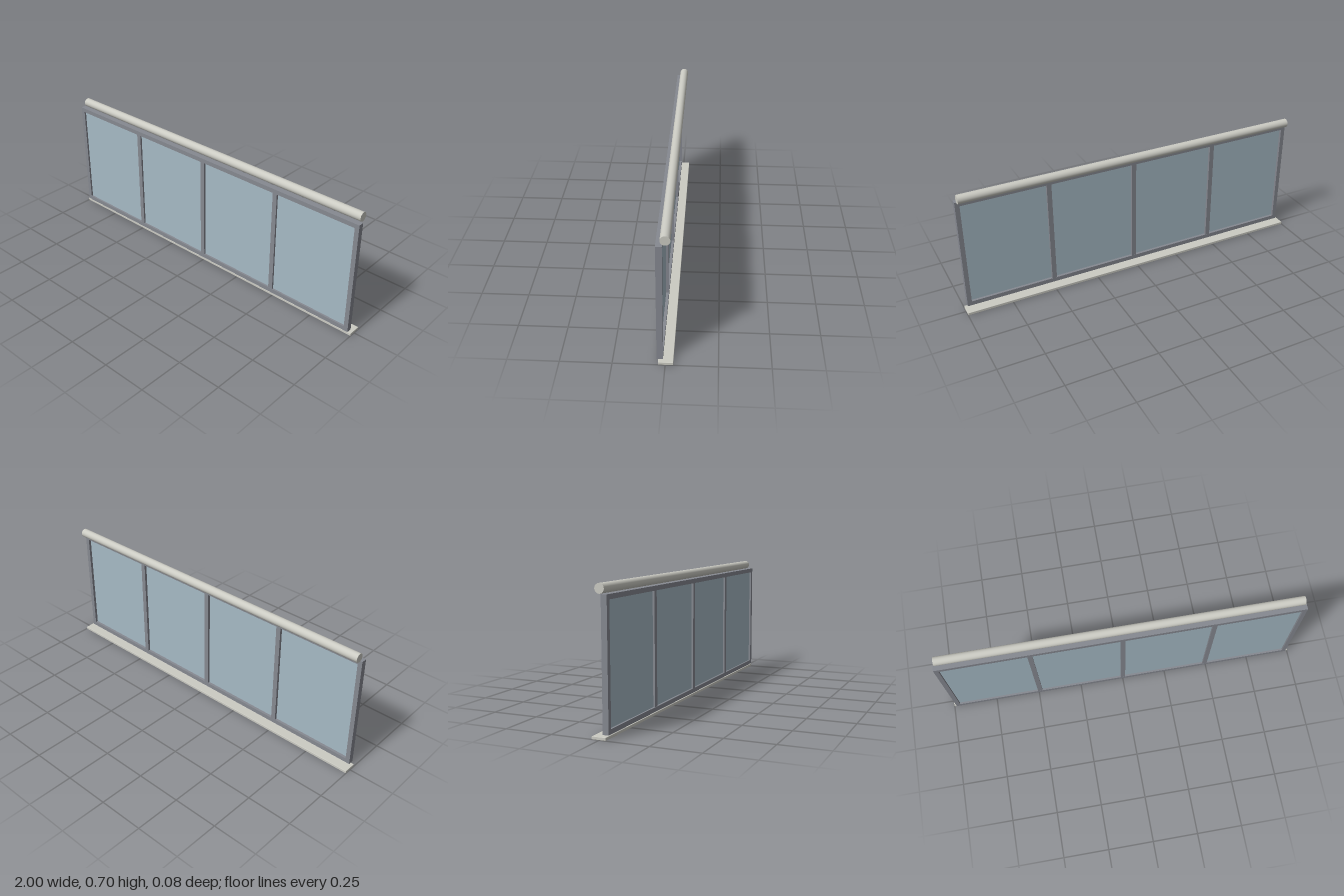
import * as THREE from 'three';
import { RoundedBoxGeometry } from 'three/addons/geometries/RoundedBoxGeometry.js';

export function createModel() {
  const group = new THREE.Group();
  group.name = 'windowUnit';

  const material = (name, color) => {
    const m = new THREE.MeshStandardMaterial({ color });
    m.name = name;
    return m;
  };
  const frameGrey = material('frameGrey', 0x868991);
  const paleStone = material('paleStone', 0xcbcbc3);
  const glassBlue = material('glassBlue', 0xa6bac5);

  const add = (name, geometry, mat, x, y, z) => {
    const mesh = new THREE.Mesh(geometry, mat);
    mesh.name = name;
    mesh.position.set(x, y, z);
    group.add(mesh);
    return mesh;
  };

  const halfW = 0.985, bottom = 0.022, top = 0.655;
  const bar = 0.024, depth = 0.03, z = 0.026;
  const midY = (bottom + top) / 2;
  const innerH = top - bottom - 2 * bar;

  // Outer frame with openings cut around four panes
  const outline = new THREE.Shape([
    new THREE.Vector2(-halfW, bottom), new THREE.Vector2(halfW, bottom),
    new THREE.Vector2(halfW, top), new THREE.Vector2(-halfW, top),
  ]);
  const l = -halfW + bar, r = halfW - bar, b = bottom + bar, t = top - bar;
  outline.holes.push(new THREE.Path([
    new THREE.Vector2(l, b), new THREE.Vector2(l, t),
    new THREE.Vector2(r, t), new THREE.Vector2(r, b),
  ]));
  add('outerFrame', new THREE.ExtrudeGeometry(outline, { depth, bevelEnabled: false }),
    frameGrey, 0, 0, z - depth / 2);

  // Upright mullions between the panes
  for (const x of [-0.49, 0, 0.49]) {
    add('mullion', new THREE.BoxGeometry(0.026, innerH, depth - 0.001), frameGrey, x, midY, z);
  }

  // Glass panes
  const edges = [l, -0.49, 0, 0.49, r];
  for (let i = 0; i < 4; i++) {
    const x0 = edges[i] + (i > 0 ? 0.013 : 0);
    const x1 = edges[i + 1] - (i < 3 ? 0.013 : 0);
    add('glassPane', new THREE.BoxGeometry(x1 - x0, innerH, 0.005), glassBlue, (x0 + x1) / 2, midY, z + 0.002);
  }

  // Sill board
  add('sill', new RoundedBoxGeometry(2, 0.015, 0.072, 2, 0.002), paleStone, 0, 0.0075, -0.002);

  // Roller blind tube above the frame
  add('blindRoller', new THREE.CylinderGeometry(0.024, 0.024, 1.95, 40), paleStone, 0, 0.679, -0.002)
    .rotation.z = Math.PI / 2;

  return group;
}
